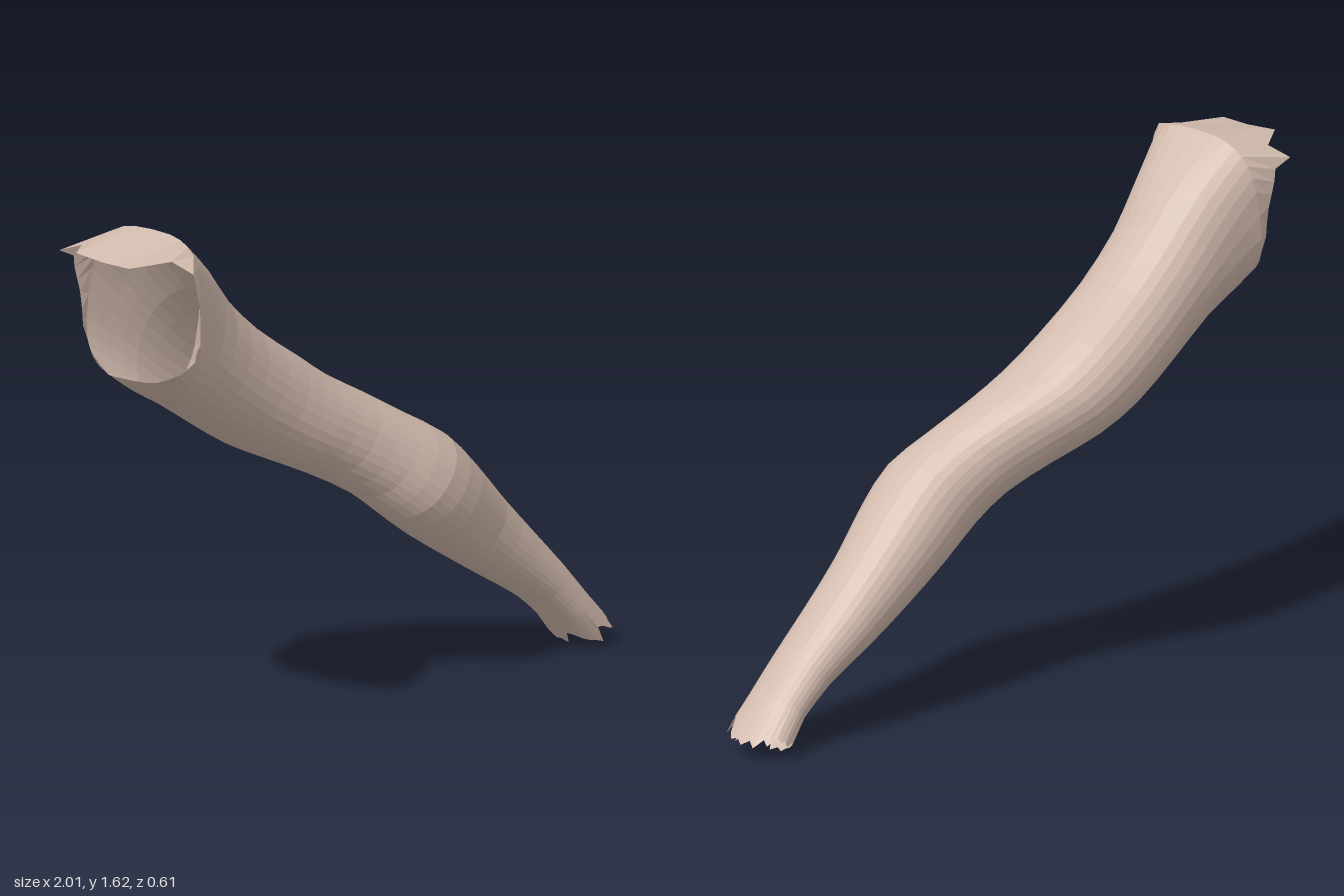
import * as THREE from 'three';

const SIDES = 32;

// Cross-sections from shoulder to wrist: lower x, y, upper x, y, back z, front z
const SECTIONS = [
  [-0.84, 1.15, -0.76, 1.62, -0.29, 0.145],
  [-0.78, 1.10, -0.62, 1.51, -0.275, 0.115],
  [-0.68, 1.04, -0.50, 1.375, -0.26, 0.105],
  [-0.54, 0.95, -0.35, 1.24, -0.255, 0.105],
  [-0.38, 0.85, -0.17, 1.115, -0.25, 0.12],
  [-0.24, 0.78, -0.05, 1.025, -0.22, 0.145],
  [-0.10, 0.71, 0.08, 0.945, -0.145, 0.175],
  [0.03, 0.63, 0.20, 0.865, -0.07, 0.225],
  [0.12, 0.55, 0.325, 0.785, -0.035, 0.275],
  [0.24, 0.46, 0.435, 0.68, -0.02, 0.28],
  [0.40, 0.36, 0.56, 0.55, 0.0, 0.262],
  [0.56, 0.26, 0.69, 0.41, 0.03, 0.267],
  [0.70, 0.17, 0.805, 0.28, 0.07, 0.28],
  [0.79, 0.09, 0.89, 0.175, 0.09, 0.295],
];

// Torn shoulder rim tips, from the top round the front, underside and back:
// x, y, z, depth of the notch after the tip
const SHOULDER_TIPS = [
  [-1, 1.57, -0.06, 0], [-1, 1.57, 0.04, 0.4], [-0.87, 1.55, 0.185, 0], [-0.93, 1.48, 0.26, 0.3],
  [-0.96, 1.37, 0.29, 0.25], [-0.94, 1.3, 0.25, 0.2], [-0.91, 1.24, 0.17, 0.1], [-0.89, 1.19, 0.06, 0.2],
  [-0.87, 1.17, -0.05, 0.1], [-0.87, 1.17, -0.15, 0.2], [-0.86, 1.22, -0.225, 0], [-0.85, 1.3, -0.27, 0.1],
  [-0.84, 1.4, -0.29, 0], [-0.86, 1.48, -0.295, 0.2], [-0.92, 1.545, -0.305, 0.3], [-1, 1.58, -0.17, 0],
];

// How far each wrist tip reaches past the last full ring
const WRIST_TIPS = [1, 0.95, 0.55, 0.9, 0.6, 1, 0.85, 0.6, 1, 0.95, 0.8, 0.75, 0.8, 0.75, 0.9, 1];

const lerp = (a, b, t) => a + (b - a) * t;

// Closed ring; the shoulder end is squarer than the rest
function ring([lx, ly, ux, uy, zb, zf], power) {
  const round = v => Math.sign(v) * Math.abs(v) ** power;
  return Array.from({ length: SIDES }, (_, j) => {
    const a = (j / SIDES) * Math.PI * 2;
    const c = round(Math.cos(a)), s = round(Math.sin(a));
    return new THREE.Vector3(
      (lx + ux) / 2 + c * (ux - lx) / 2,
      (ly + uy) / 2 + c * (uy - ly) / 2,
      (zb + zf) / 2 + s * (zf - zb) / 2);
  });
}

// Smoothly resample the sections along the arm
function armRings() {
  const steps = (SECTIONS.length - 1) * 2;
  const lower = new THREE.CatmullRomCurve3(SECTIONS.map(s => new THREE.Vector3(s[0], s[1], s[4])));
  const upper = new THREE.CatmullRomCurve3(SECTIONS.map(s => new THREE.Vector3(s[2], s[3], s[5])));
  return Array.from({ length: steps + 1 }, (_, i) => {
    const l = lower.getPoint(i / steps), u = upper.getPoint(i / steps);
    return ring([l.x, l.y, u.x, u.y, l.z, u.z], Math.min(0.92, 0.68 + i * 0.06));
  });
}

// Jagged flared rim: tips on even points, notches between them
function shoulderRim(base) {
  const tips = SHOULDER_TIPS.map(([x, y, z]) => new THREE.Vector3(x, y, z));
  return base.map((p, j) => {
    const i = Math.floor(j / 2);
    if (j % 2 === 0) return tips[i].clone();
    return tips[i].clone().lerp(tips[(i + 1) % tips.length], 0.5).lerp(p, SHOULDER_TIPS[i][3]);
  });
}

function wristRim(base) {
  return base.map((p, j) => {
    const a = (j / SIDES) * Math.PI * 2;
    const t = WRIST_TIPS[Math.floor(j / 2)] * (j % 2 ? 0.88 : 1);
    const reach = lerp(0.083, 0.115, (1 + Math.cos(a)) / 2) * t;
    return new THREE.Vector3(p.x + reach, p.y - reach * 1.08, p.z + 0.01 * Math.sin(a));
  });
}

// Join successive rings into a skin
function loft(rings) {
  const pos = [], index = [];
  rings.forEach(r => r.forEach(p => pos.push(p.x, p.y, p.z)));
  for (let i = 0; i < rings.length - 1; i++) {
    for (let j = 0; j < SIDES; j++) {
      const k = (j + 1) % SIDES;
      const a = i * SIDES + j, b = i * SIDES + k;
      index.push(a, b, b + SIDES, a, b + SIDES, a + SIDES);
    }
  }
  const g = new THREE.BufferGeometry();
  g.setAttribute('position', new THREE.Float32BufferAttribute(pos, 3));
  g.setIndex(index);
  g.computeVertexNormals();
  return g;
}

export function createModel() {
  const skin = new THREE.MeshStandardMaterial({ color: 0xd2bbae, flatShading: true, side: THREE.DoubleSide });
  skin.name = 'skin';

  const group = new THREE.Group();
  group.name = 'arm';
  const add = (name, rings) => {
    const mesh = new THREE.Mesh(loft(rings), skin);
    mesh.name = name;
    group.add(mesh);
  };

  const rings = armRings();
  const elbow = 14;
  const last = rings[rings.length - 1];
  add('shoulderFlap', [shoulderRim(rings[0]), rings[0]]);
  add('upperArm', rings.slice(0, elbow + 1));
  add('forearm', rings.slice(elbow));
  add('wristEdge', [last, wristRim(last)]);
  return group;
}
